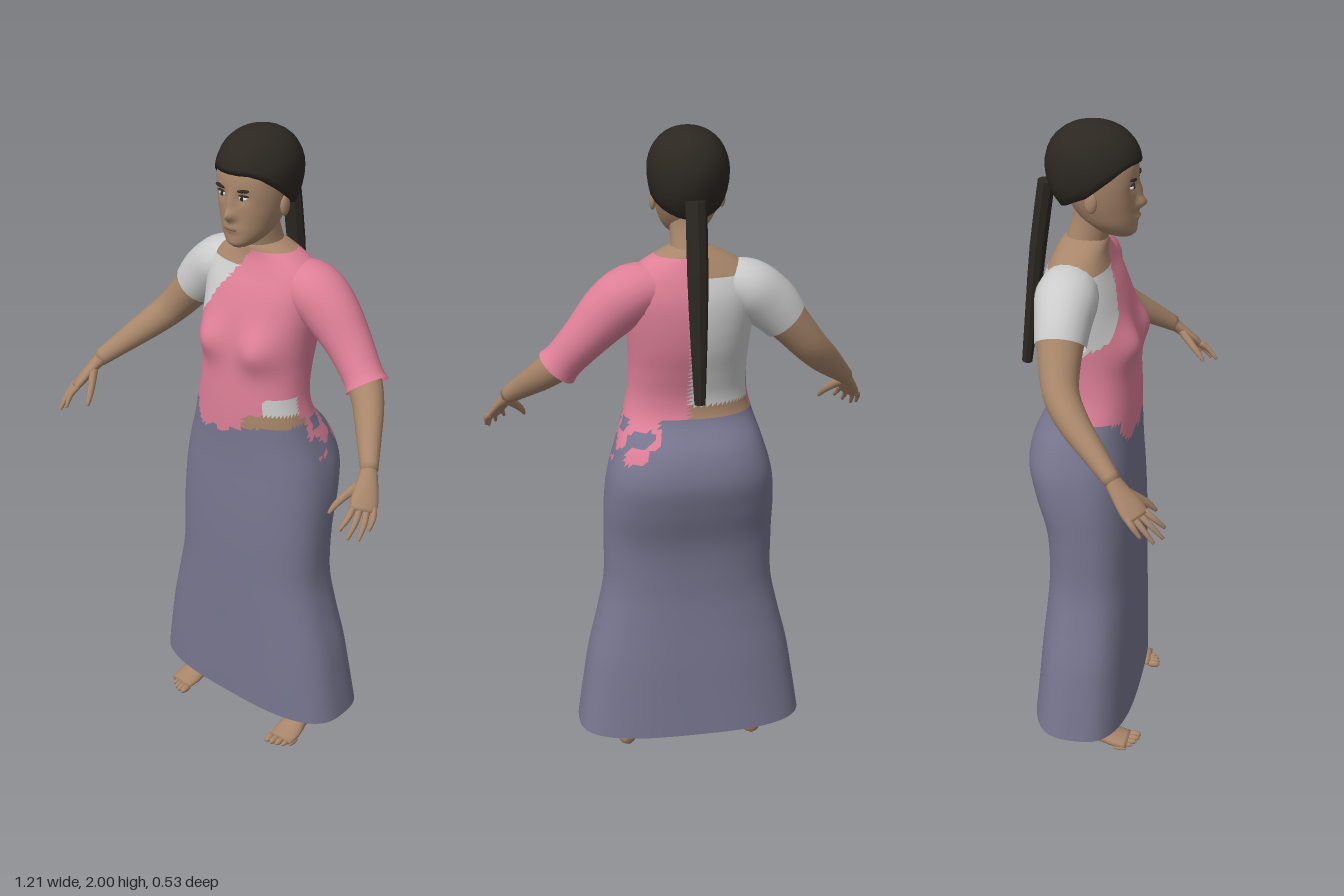
import * as THREE from 'three';

const mat = (color) => new THREE.MeshStandardMaterial({ color, side: THREE.DoubleSide });
const M = {
  skin: mat(0xa8866a), sari: mat(0xdd7f97), skirt: mat(0x77768f), blouse: mat(0xcccccc),
  hair: mat(0x2c2721), white: mat(0xd8d4cc), lips: mat(0x8a6150),
};
const V = (x, y, z) => new THREE.Vector3(x, y, z);
const gauss = (d, s) => Math.exp(-(d * d) / (s * s));

// Smooth interpolation between the rows of a small table, t in 0..1
function sample(table, t) {
  const f = Math.min(Math.max(t, 0), 1) * (table.length - 1);
  const i = Math.min(Math.floor(f), table.length - 2), u = f - i;
  const row = (k) => table[Math.min(Math.max(k, 0), table.length - 1)];
  return table[0].map((_, k) => {
    const [a, b, c, d] = [row(i - 1)[k], row(i)[k], row(i + 1)[k], row(i + 2)[k]];
    return b + 0.5 * u * (c - a + u * (2 * a - 5 * b + 4 * c - d + u * (3 * (b - c) + d - a)));
  });
}

// Skin closed rings of points into one smooth surface
function skinRings(rings, capStart, capEnd) {
  const n = rings[0].length, pos = [], idx = [];
  rings.forEach((r) => r.forEach((p) => pos.push(p.x, p.y, p.z)));
  for (let r = 0; r < rings.length - 1; r++) for (let i = 0; i < n; i++) {
    const j = (i + 1) % n, a = r * n + i, b = r * n + j;
    idx.push(a, a + n, b, b, a + n, b + n);
  }
  const cap = (r, flip) => {
    const c = rings[r].reduce((s, p) => s.add(p), V(0, 0, 0)).divideScalar(n), k = pos.length / 3;
    pos.push(c.x, c.y, c.z);
    for (let i = 0; i < n; i++) {
      const a = r * n + i, b = r * n + ((i + 1) % n);
      if (flip) idx.push(k, b, a); else idx.push(k, a, b);
    }
  };
  if (capStart) cap(0, false);
  if (capEnd) cap(rings.length - 1, true);
  const g = new THREE.BufferGeometry();
  g.setAttribute('position', new THREE.Float32BufferAttribute(pos, 3));
  g.setIndex(idx);
  g.computeVertexNormals();
  return g;
}

// Upright loft; rows are [y, half width, z front, z back, squareness]
function loft(rows, steps, seg, bump, capStart, capEnd) {
  const rings = [];
  for (let r = 0; r <= steps; r++) {
    const [y, w, zf, zb, n] = sample(rows, r / steps);
    rings.push(Array.from({ length: seg }, (_, i) => {
      const a = (i / seg) * Math.PI * 2, c = Math.cos(a), s = Math.sin(a);
      const p = V(Math.sign(c) * Math.abs(c) ** (2 / n) * w, y,
        (zf + zb) / 2 + Math.sign(s) * Math.abs(s) ** (2 / n) * (zf - zb) / 2);
      bump(p, s);
      return p;
    }));
  }
  return skinRings(rings, capStart, capEnd);
}

// Limb along a path; rows are [x, y, z, radius along ref, radius across]
function limb(rows, ref, seg = 12, steps = 12, caps = true) {
  const rings = [];
  const at = (t) => V(...sample(rows, t).slice(0, 3));
  for (let r = 0; r <= steps; r++) {
    const t = r / steps, [x, y, z, ru, rv] = sample(rows, t);
    const dir = at(t + 0.02).sub(at(t - 0.02)).normalize();
    const u = ref.clone().addScaledVector(dir, -ref.dot(dir)).normalize();
    const v = u.clone().cross(dir);
    rings.push(Array.from({ length: seg }, (_, i) => {
      const a = (i / seg) * Math.PI * 2;
      return V(x, y, z).addScaledVector(u, ru * Math.cos(a)).addScaledVector(v, rv * Math.sin(a));
    }));
  }
  return skinRings(rings, caps, caps);
}

function add(parent, name, geo, material, x = 0, y = 0, z = 0) {
  const m = new THREE.Mesh(geo, material);
  m.name = name;
  m.position.set(x, y, z);
  parent.add(m);
  return m;
}
const ball = (rx, ry, rz) => new THREE.SphereGeometry(1, 16, 10).scale(rx, ry, rz);

// Share the triangles of one surface out to several materials
function split(geo, pick, parent, names) {
  const p = geo.attributes.position, ix = geo.index.array, buckets = {};
  for (let i = 0; i < ix.length; i += 3) {
    const t = [ix[i], ix[i + 1], ix[i + 2]], c = V(0, 0, 0);
    t.forEach((k) => c.add(V(p.getX(k), p.getY(k), p.getZ(k))));
    c.divideScalar(3);
    (buckets[pick(c)] ??= []).push(...t);
  }
  for (const key in buckets) {
    const g = geo.clone();
    g.setIndex(buckets[key]);
    add(parent, names[key], g.toNonIndexed(), M[key]);
  }
}

// Which cloth covers a point of the body
function cloth({ x, y, z }) {
  const front = z > -0.03, rag = 0.012 * Math.sin(x * 70) + 0.008 * Math.sin(x * 31 + 1);
  const sidePatch = x > 0.1 && z < -0.02 && z > -0.2 && y > 1.02
    && Math.sin(z * 75 + y * 25) + Math.sin(y * 80 - z * 30) > 0.1 - (y - 1.08) * 14;
  if (y < 1.16) {
    if (sidePatch) return 'sari';
    if (front && x > -0.15 && x < 0.05 && y > 1.095 + rag) return 'sari';
    if (front && x > 0.04 && y > 1.12 + x * 0.12) return 'skin';
    return y < (front ? 1.12 + Math.abs(x) * 0.15 : 1.16) ? 'skirt' : 'sari';
  }
  if (x > 0.115 && y > 1.18 && y < 1.235 && z > 0) return 'blouse';
  if (x > 0.06 && y < 1.15 + x * 0.25 && z > 0) return 'skin';
  const sari = front ? x > -0.18 + (y - 1.38) * 0.69 : x > 0.01 || (z > -0.07 && y < 1.36);
  if (sari) return y > 1.648 ? 'skin' : 'sari';
  return y > 1.595 || y < 1.2 ? 'skin' : 'blouse';
}

function buildHead() {
  const head = new THREE.Group();
  head.name = 'head';
  add(head, 'neck', limb([[0, 1.6, -0.075, 0.07, 0.066], [0, 1.66, -0.062, 0.056, 0.058],
    [0, 1.72, -0.045, 0.054, 0.056], [0, 1.78, -0.04, 0.055, 0.058]], V(1, 0, 0), 20), M.skin);
  // Face with nose, eye sockets and lips pushed out of a loft
  const face = (p, s) => {
    if (s <= 0) return;
    p.z += 0.027 * gauss(p.x, 0.015) * gauss(p.y - 1.775, 0.018) + 0.014 * gauss(p.x, 0.011) * gauss(p.y - 1.81, 0.025)
      + 0.007 * gauss(p.x, 0.022) * gauss(p.y - 1.735, 0.012)
      - 0.008 * gauss(Math.abs(p.x) - 0.036, 0.018) * gauss(p.y - 1.828, 0.016);
  };
  add(head, 'face', loft([[1.676, 0.022, 0.068, 0.01, 2], [1.69, 0.045, 0.082, -0.03, 2.1],
    [1.72, 0.07, 0.084, -0.07, 2.1], [1.76, 0.086, 0.083, -0.1, 2.2], [1.8, 0.096, 0.083, -0.12, 2.3],
    [1.85, 0.102, 0.086, -0.14, 2.3], [1.9, 0.1, 0.08, -0.14, 2.2], [1.95, 0.075, 0.05, -0.11, 2]],
  44, 64, face, true, true), M.skin);
  for (const s of [-1, 1]) {
    add(head, 'eyeWhite', ball(0.015, 0.0065, 0.008), M.white, s * 0.036, 1.828, 0.073);
    add(head, 'iris', ball(0.006, 0.0065, 0.005), M.hair, s * 0.036, 1.828, 0.078);
    add(head, 'eyelid', ball(0.019, 0.003, 0.008), M.hair, s * 0.037, 1.836, 0.074);
    add(head, 'eyebrow', ball(0.022, 0.005, 0.01), M.hair, s * 0.038, 1.85, 0.077).rotation.z = s * 0.12;
    add(head, 'ear', ball(0.01, 0.03, 0.018), M.skin, s * 0.1, 1.795, -0.03);
  }
  add(head, 'mouth', ball(0.023, 0.005, 0.006), M.lips, 0, 1.735, 0.086);
  // Hair cap whose hem drops from the brow to the nape, with a tucked-in first ring
  const rings = [];
  for (let r = 0; r <= 13; r++) rings.push(Array.from({ length: 24 }, (_, i) => {
    const a = (i / 24) * Math.PI * 2, c = Math.cos(a), s = Math.sin(a);
    const hem = s > 0 ? 1.81 + 0.085 * Math.min(1, s * 1.25) : 1.81 + 0.055 * s;
    const low = Math.acos((hem - 1.88) / (hem < 1.88 ? 0.16 : 0.12));
    const t = THREE.MathUtils.lerp(low, 0.02, Math.max(r - 1, 0) / 12);
    const q = Math.sin(t) ** 0.9 * (r === 0 ? 0.8 : 1), h = Math.cos(t);
    return V(c * 0.117 * q, 1.88 + h * (h < 0 ? 0.16 : 0.12), -0.042 + s * 0.138 * q);
  }));
  add(head, 'hairCap', skinRings(rings, false, true), M.hair);
  const tail = limb([[0, 1.82, -0.178, 0.03, 0.025], [0, 1.62, -0.207, 0.03, 0.025],
    [0, 1.42, -0.23, 0.024, 0.021], [0, 1.25, -0.25, 0.016, 0.016]], V(1, 0, 0), 8, 6).toNonIndexed();
  tail.computeVertexNormals();
  add(head, 'ponytail', tail, M.hair);
  return head;
}

function buildArm(s) {
  const arm = new THREE.Group();
  arm.name = s > 0 ? 'leftArm' : 'rightArm';
  const flip = (rows) => rows.map(([x, ...rest]) => [x * s, ...rest]);
  const ref = V(0, 0, 1);
  const path = [[0.1, 1.56, -0.085, 0.07, 0.06], [0.17, 1.54, -0.085, 0.084, 0.077], [0.235, 1.49, -0.083, 0.074, 0.076],
    [0.3, 1.42, -0.078, 0.062, 0.062], [0.365, 1.345, -0.062, 0.052, 0.053], [0.42, 1.288, -0.018, 0.045, 0.047],
    [0.48, 1.225, 0.055, 0.034, 0.036], [0.53, 1.172, 0.118, 0.024, 0.026]];
  add(arm, 'arm', limb(flip(path), ref, 20, 28), M.skin);
  // Sleeve sits just outside the arm: long and flared on the left, short on the right
  const wide = path.slice(0, s > 0 ? 5 : 3).map(([x, y, z, a, b]) => [x, y, z, a + 0.007, b + 0.007]);
  wide.push(s > 0 ? [0.388, 1.318, -0.055, 0.066, 0.066] : [0.282, 1.44, -0.08, 0.073, 0.073]);
  add(arm, 'sleeve', limb(flip(wide), ref, 20, 16, false), s > 0 ? M.sari : M.blouse);
  // Palm, four fingers and thumb
  const across = V(-0.06 * s, 0.01, 0.065);
  add(arm, 'palm', limb(flip([[0.52, 1.183, 0.105, 0.022, 0.024], [0.54, 1.15, 0.137, 0.03, 0.018],
    [0.556, 1.115, 0.17, 0.039, 0.016], [0.567, 1.09, 0.192, 0.037, 0.013]]), across, 14, 9), M.skin);
  const tips = [[0.598, 1.047, 0.205], [0.59, 1.03, 0.24], [0.568, 1.035, 0.262], [0.54, 1.052, 0.262]];
  tips.forEach(([x, y, z], i) => {
    const k = i - 1.5, b = [0.563 - k * 0.013, 1.098 + k * 0.002, 0.185 + k * 0.014];
    add(arm, 'finger', limb(flip([[...b, 0.01, 0.01],
      [(b[0] + x) / 2 + 0.006, (b[1] + y) / 2 + 0.005, (b[2] + z) / 2, 0.009, 0.009],
      [x, y, z, 0.005, 0.005]]), across, 8, 6), M.skin);
  });
  add(arm, 'thumb', limb(flip([[0.533, 1.152, 0.14, 0.016, 0.014], [0.505, 1.118, 0.178, 0.013, 0.012],
    [0.487, 1.09, 0.208, 0.01, 0.01], [0.478, 1.066, 0.228, 0.005, 0.005]]), across, 8, 8), M.skin);
  return arm;
}

function buildLeg(s) {
  const leg = new THREE.Group();
  leg.name = s > 0 ? 'leftLeg' : 'rightLeg';
  add(leg, 'leg', limb([[0.1, 0.9, -0.06, 0.09, 0.1], [0.15, 0.5, -0.055, 0.055, 0.06], [0.18, 0.32, -0.07, 0.05, 0.055],
    [0.202, 0.13, -0.067, 0.032, 0.037], [0.208, 0.035, -0.063, 0.032, 0.042]]
    .map(([x, ...r]) => [x * s, ...r]), V(1, 0, 0), 16, 16), M.skin);
  add(leg, 'foot', limb([[0.203, 0.028, -0.108, 0.012, 0.015], [0.205, 0.034, -0.09, 0.028, 0.032],
    [0.209, 0.041, -0.045, 0.033, 0.038], [0.215, 0.034, 0.01, 0.036, 0.031], [0.22, 0.023, 0.065, 0.045, 0.021],
    [0.222, 0.017, 0.11, 0.042, 0.014]].map(([x, ...r]) => [x * s, ...r]), V(1, 0, 0), 16, 16), M.skin);
  for (let i = 0; i < 5; i++) {
    const r = 0.014 - i * 0.0014;
    add(leg, 'toe', ball(r * 0.85, r * 0.9, 0.024), M.skin, s * (0.189 + i * 0.0175), r, 0.123 - i * i * 0.0022);
  }
  return leg;
}

export function createModel() {
  const model = new THREE.Group();
  model.name = 'woman';
  // Skirt, waist and chest as one surface
  const bust = (p, s) => {
    if (s > 0) p.z += 0.036 * gauss(Math.abs(p.x) - 0.095, 0.062) * gauss(p.y - 1.375, 0.062);
  };
  const body = loft([[0.1, 0.36, 0.113, -0.21, 2.9], [0.22, 0.342, 0.114, -0.2, 2.8], [0.35, 0.32, 0.114, -0.19, 2.7],
    [0.48, 0.288, 0.115, -0.178, 2.6], [0.6, 0.265, 0.115, -0.172, 2.5], [0.75, 0.262, 0.113, -0.18, 2.5],
    [0.88, 0.26, 0.108, -0.215, 2.5], [0.98, 0.248, 0.102, -0.233, 2.5], [1.07, 0.222, 0.1, -0.21, 2.4],
    [1.15, 0.196, 0.1, -0.15, 2.3], [1.22, 0.18, 0.098, -0.14, 2.3], [1.3, 0.176, 0.093, -0.158, 2.3],
    [1.38, 0.18, 0.085, -0.18, 2.3], [1.46, 0.187, 0.07, -0.189, 2.4], [1.53, 0.19, 0.045, -0.186, 2.5],
    [1.585, 0.185, 0.018, -0.17, 2.4], [1.625, 0.142, 0.004, -0.152, 2.2], [1.655, 0.085, 0, -0.135, 2],
    [1.67, 0.052, -0.01, -0.115, 2]], 110, 72, bust, false, true);
  split(body, cloth, model, { skin: 'bareSkin', sari: 'drape', skirt: 'skirt', blouse: 'blouse' });
  model.add(buildHead());
  for (const s of [-1, 1]) model.add(buildArm(s), buildLeg(s));
  return model;
}
